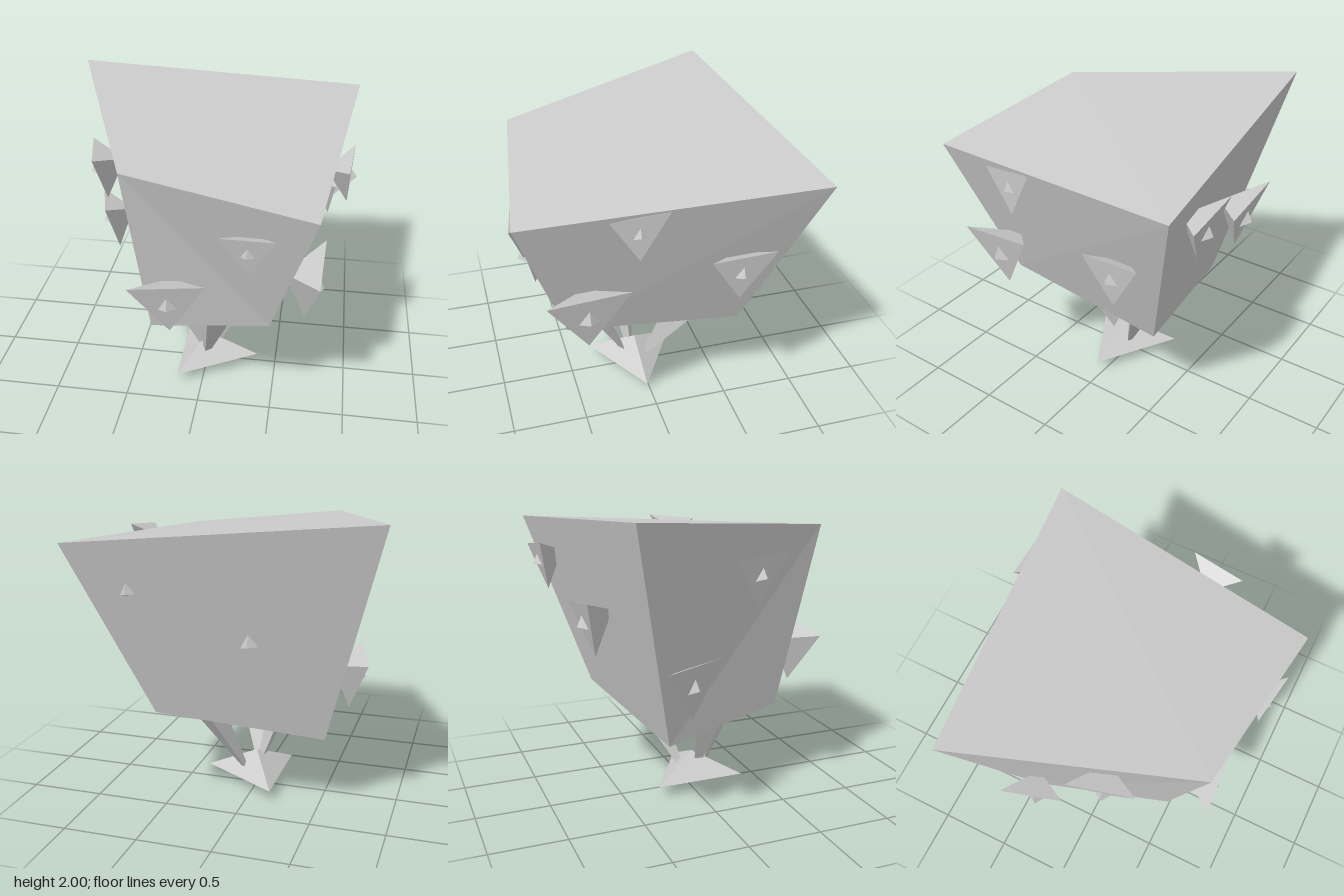
import * as THREE from 'three';
import { ConvexGeometry } from 'three/addons/geometries/ConvexGeometry.js';

const material = new THREE.MeshStandardMaterial({ color: 0xcccccc, flatShading: true });
const vec = (p) => new THREE.Vector3(...p);

function addMesh(parent, name, geometry) {
  const mesh = new THREE.Mesh(geometry, material);
  mesh.name = name;
  parent.add(mesh);
  return mesh;
}

// Crooked block: four top corners, then four bottom corners
function bodyGeometry() {
  const corners = [
    [-0.96, 2.0, -0.68], [0.96, 1.84, -0.9], [0.75, 1.71, 0.92], [-0.4, 1.86, 0.77],
    [-0.56, 0.54, -0.35], [0.53, 0.685, -0.545], [0.48, 0.765, 0.595], [-0.3, 0.63, 0.52],
  ];
  const faces = [
    3, 2, 1, 3, 1, 0, // top
    3, 7, 6, 3, 6, 2, // front
    2, 6, 1, 6, 5, 1, // +x side
    1, 5, 0, 5, 4, 0, // back
    0, 4, 3, 4, 7, 3, // -x side
    4, 5, 6, 4, 6, 7, // bottom
  ];
  const geometry = new THREE.BufferGeometry();
  geometry.setAttribute('position', new THREE.Float32BufferAttribute(faces.flatMap((i) => corners[i]), 3));
  geometry.computeVertexNormals();
  return geometry;
}

// Triangular shard sunk into the body, with a small inverted spike on its face
function createShard(a, b, tip) {
  const group = new THREE.Group();
  group.name = 'shard';
  const tri = [a, b, tip].map(vec);
  const centre = tri[0].clone().add(tri[1]).add(tri[2]).divideScalar(3);
  const edge = tri[0].distanceTo(tri[1]);
  const normal = tri[1].clone().sub(tri[0]).cross(tri[2].clone().sub(tri[0])).normalize();
  if (normal.dot(new THREE.Vector3(centre.x, 0, centre.z)) < 0) normal.negate();

  const inner = centre.clone().addScaledVector(normal, -0.42 * edge);
  addMesh(group, 'shardPlate', new ConvexGeometry([...tri, inner]));

  const middle = centre.clone().lerp(tri[2], 0.09);
  const base = tri.map((p) => middle.clone().addScaledVector(p.clone().sub(centre), -0.27)
    .addScaledVector(normal, -0.005));
  const peak = middle.clone().addScaledVector(normal, 0.11 * edge);
  addMesh(group, 'shardSpike', new ConvexGeometry([...base, peak]));
  return group;
}

// Three-sided leg tapering from the body down to a point
function legGeometry(top, tip) {
  const end = vec(tip);
  const ring = top.map((p) => vec(p).sub(end).multiplyScalar(1.04).add(end));
  return new ConvexGeometry([...ring, end]);
}

export function createModel() {
  const model = new THREE.Group();
  model.name = 'crookedBlockCreature';

  addMesh(model, 'body', bodyGeometry());

  // Each shard: two upper corners and the lower tip
  const shards = [
    // front
    [[-0.38, 1.1, 0.81], [0.1, 1.145, 0.785], [-0.14, 0.74, 0.7]],
    [[0.18, 1.54, 0.86], [0.52, 1.57, 0.915], [0.36, 1.28, 0.82]],
    // +x side
    [[0.9, 1.77, 0.405], [0.93, 1.81, 0.06], [0.9, 1.5, 0.23]],
    [[0.835, 1.355, -0.23], [0.86, 1.39, -0.635], [0.8, 1.05, -0.43]],
    [[0.78, 1.17, 0.76], [0.8, 1.22, 0.25], [0.695, 0.79, 0.5]],
    // back
    [[0.33, 1.73, -0.92], [0.74, 1.67, -0.92], [0.535, 1.38, -0.83]],
    [[-0.41, 1.46, -0.81], [0.06, 1.39, -0.81], [-0.18, 1.06, -0.705]],
    // -x side
    [[-0.75, 1.72, 0.01], [-0.65, 1.75, 0.42], [-0.62, 1.4, 0.22]],
    [[-0.84, 1.1, -0.46], [-0.73, 1.14, -0.06], [-0.69, 0.745, -0.25]],
  ];
  for (const corners of shards) model.add(createShard(...corners));

  // Legs meet and cross through the foot
  addMesh(model, 'frontLeg', legGeometry(
    [[-0.02, 0.66, 0.3], [0.07, 0.7, 0.48], [0.26, 0.7, 0.33]], [-0.015, 0, 0.05]));
  addMesh(model, 'sideLeg', legGeometry(
    [[-0.23, 0.62, 0.21], [-0.07, 0.63, 0.09], [-0.2, 0.61, 0]], [0.035, 0.01, 0.05]));
  addMesh(model, 'backLeg', legGeometry(
    [[0.42, 0.68, -0.3], [0.22, 0.68, -0.16], [0.25, 0.66, -0.38]], [0.03, 0.01, 0.01]));

  // Flat three-sided pyramid foot, one corner towards +x
  const foot = addMesh(model, 'foot', new THREE.ConeGeometry(0.36, 0.16, 3).rotateY(Math.PI / 2));
  foot.position.set(0.01, 0.16, 0.03);

  return model;
}
